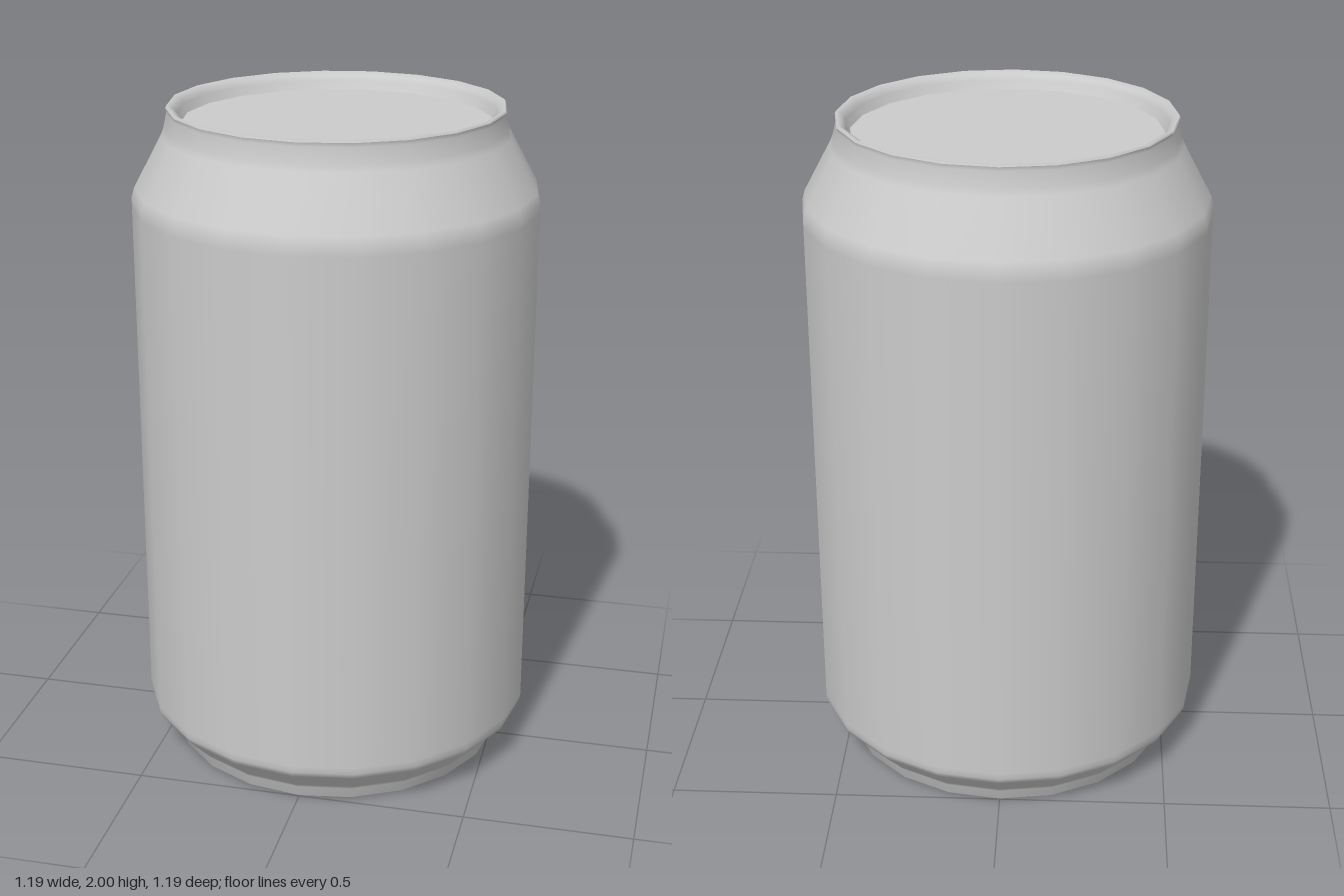
import * as THREE from 'three';

const SIDES = 20;

export function createModel() {
  const can = new THREE.Group();
  can.name = 'drinkCan';
  const metal = new THREE.MeshStandardMaterial({ color: 0xcccccc });

  const add = (name, geometry, y = 0) => {
    const mesh = new THREE.Mesh(geometry, metal);
    mesh.name = name;
    mesh.position.y = y;
    can.add(mesh);
  };
  const lathe = (points) =>
    new THREE.LatheGeometry(points.map(([r, y]) => new THREE.Vector2(r, y)), SIDES);
  const disc = (radius, facing) =>
    new THREE.CircleGeometry(radius, SIDES).rotateX(-facing * Math.PI / 2);

  // Foot ring, chamfer, straight wall, shoulder and neck, from bottom to top
  add('body', lathe([
    [0.47, 0.02], [0.485, 0.003], [0.497, 0], [0.508, 0.008], [0.513, 0.04], [0.525, 0.055],
    [0.588, 0.122], [0.595, 0.14], [0.595, 0.16],
    [0.595, 1.71], [0.595, 1.735], [0.586, 1.765],
    [0.505, 1.915], [0.497, 1.935], [0.487, 1.98], [0.49, 1.992],
  ]));

  // Rolled lip and the wall sloping down to the lid
  add('rim', lathe([[0.49, 1.992], [0.486, 2], [0.468, 1.99], [0.462, 1.975], [0.448, 1.95]]));

  // Sunken lid and base
  add('lid', disc(0.448, 1), 1.95);
  add('base', disc(0.47, -1), 0.02);

  return can;
}
